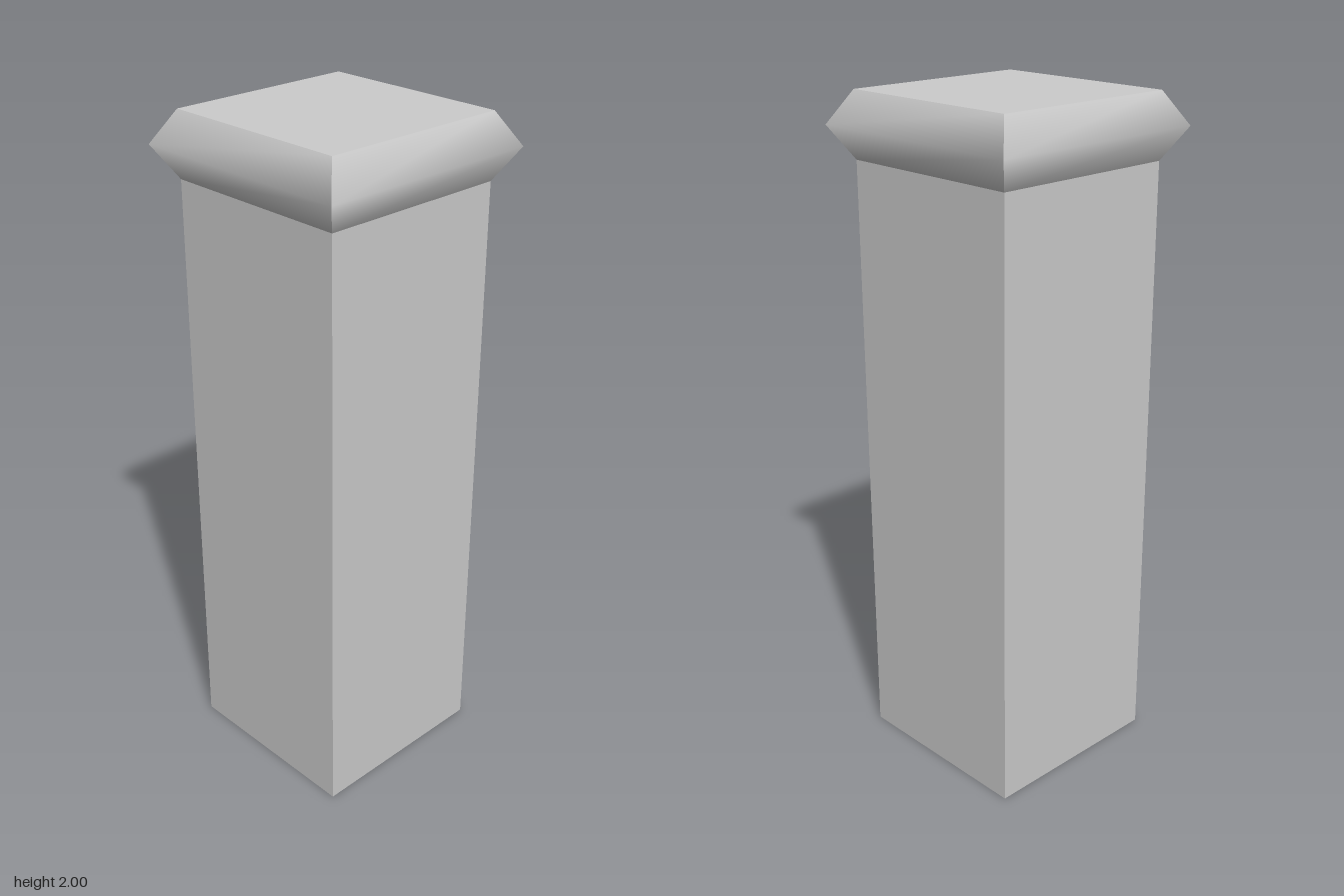
import * as THREE from 'three';
import { mergeGeometries } from 'three/addons/utils/BufferGeometryUtils.js';

const HALF = 0.293;      // half width of the shaft and of the cap's top
const CAP_HALF = 0.35;   // half width at the cap's widest line
const CAP_BASE = 1.81;
const HEIGHT = 2;

// One side of the cap: two sloping strips, smooth across the middle ridge
function capSide(turn) {
  const side = new THREE.PlaneGeometry(2, 2, 1, 2);
  const pos = side.attributes.position;
  for (let i = 0; i < pos.count; i++) {
    const v = pos.getY(i); // 1 top, 0 ridge, -1 bottom
    const reach = THREE.MathUtils.lerp(CAP_HALF, HALF, Math.abs(v));
    const y = THREE.MathUtils.mapLinear(v, -1, 1, CAP_BASE, HEIGHT);
    pos.setXYZ(i, pos.getX(i) * reach, y, reach);
  }
  side.computeVertexNormals();
  return side.rotateY(turn * Math.PI / 2);
}

// Flat lid of the cap, facing up or down
function capLid(y, direction) {
  return new THREE.PlaneGeometry(HALF * 2, HALF * 2)
    .rotateX(-direction * Math.PI / 2)
    .translate(0, y, 0);
}

export function createModel() {
  const model = new THREE.Group();
  model.name = 'post';
  const material = new THREE.MeshStandardMaterial({ color: 0xcccccc });

  // Square shaft
  const shaft = new THREE.Mesh(
    new THREE.BoxGeometry(HALF * 2, CAP_BASE, HALF * 2).translate(0, CAP_BASE / 2, 0),
    material
  );
  shaft.name = 'shaft';

  // Cap with a pointed rim
  const cap = new THREE.Mesh(
    mergeGeometries([
      ...[0, 1, 2, 3].map(capSide),
      capLid(HEIGHT, 1),
      capLid(CAP_BASE, -1),
    ]),
    material
  );
  cap.name = 'cap';

  model.add(shaft, cap);
  return model;
}
